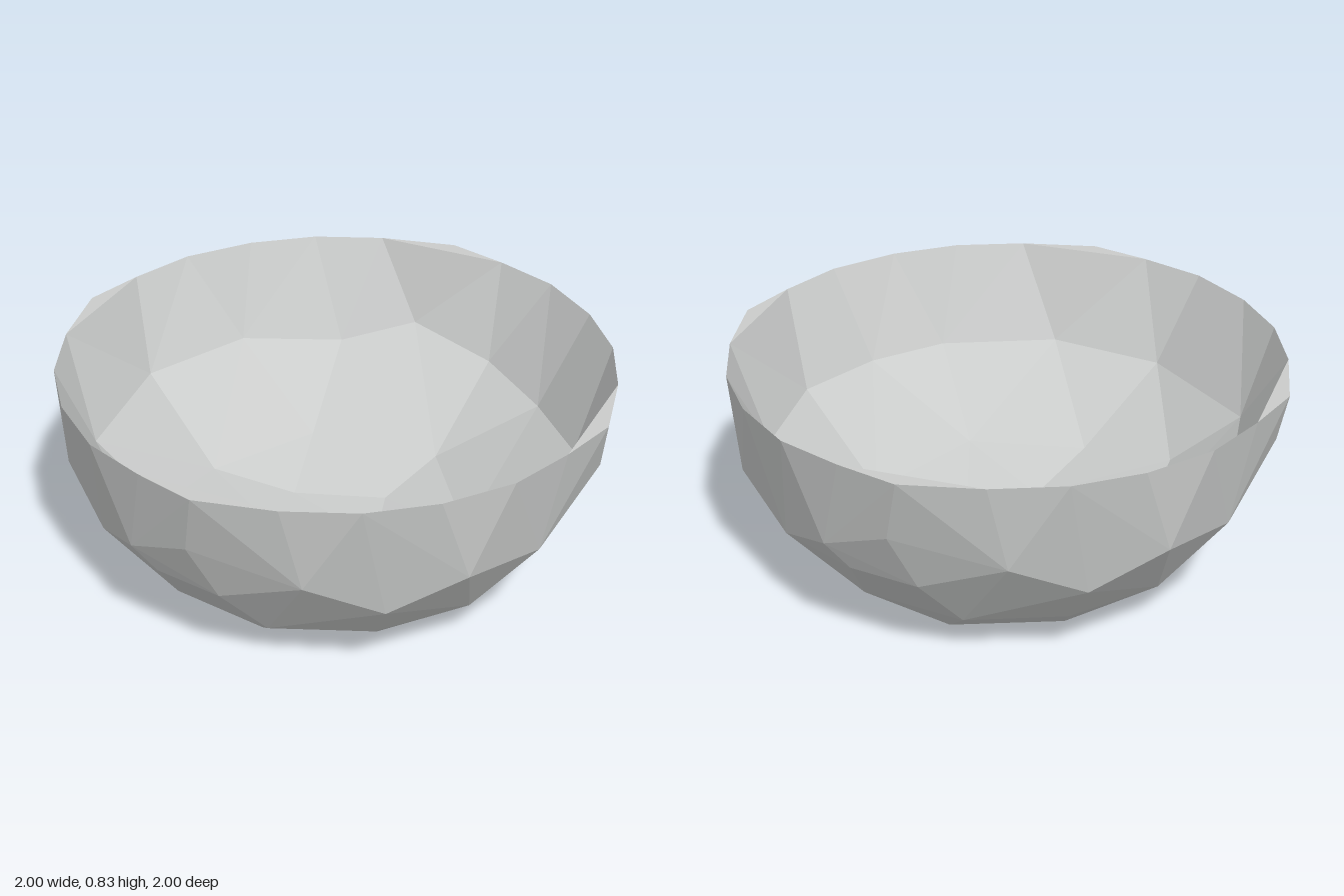
import * as THREE from 'three';
import { ConvexGeometry } from 'three/addons/geometries/ConvexGeometry.js';

const HEIGHT = 0.83;

// Convex faceted shell with its flat lid removed; inward = true turns the faces to the inside.
function openShell(points, inward) {
  const pos = new ConvexGeometry(points).getAttribute('position');
  const out = [];
  for (let i = 0; i < pos.count; i += 3) {
    const tri = [0, 1, 2].map((k) => new THREE.Vector3().fromBufferAttribute(pos, i + k));
    if (tri.every((v) => v.y > HEIGHT - 0.005)) continue;
    if (inward) tri.reverse();
    tri.forEach((v) => out.push(v.x, v.y, v.z));
  }
  return flatGeometry(out);
}

function flatGeometry(coords) {
  const geo = new THREE.BufferGeometry();
  geo.setAttribute('position', new THREE.Float32BufferAttribute(coords, 3));
  geo.computeVertexNormals();
  return geo;
}

export function createModel() {
  const group = new THREE.Group();
  group.name = 'bowl';
  const grey = new THREE.MeshStandardMaterial({ color: 0xcacccb, side: THREE.DoubleSide });
  grey.name = 'light grey';
  const add = (name, geo) => {
    const mesh = new THREE.Mesh(geo, grey);
    mesh.name = name;
    group.add(mesh);
  };

  // Rim: one quarter repeated four times; the fourth point of each quarter is a pointed corner
  const quarter = [[-0.03, -1], [0.23, -0.975], [0.48, -0.88], [0.73, -0.73], [0.85, -0.53], [0.96, -0.3]];
  const rim = [];
  for (let q = 0; q < 4; q++) {
    for (const [x, z] of quarter) {
      rim.push(new THREE.Vector3(x, HEIGHT, z).applyAxisAngle(new THREE.Vector3(0, 1, 0), -q * Math.PI / 2));
    }
  }

  // Outside wall and flat base: half the corners, the rest by a half turn
  const half = [
    [-0.4, 0.5, 0.87], [-0.12, 0.36, 0.9], [0.15, 0.49, 0.96], [0.47, 0.43, 0.8],
    [0.78, 0.585, 0.59], [0.96, 0.49, 0.16], [0.9, 0.36, -0.11], [0.86, 0.46, -0.39],
    [0.73, 0.58, -0.64], [0.62, 0.36, -0.63], [0.78, 0.36, -0.42], [0.76, 0.36, 0.45],
    [-0.44, 0.155, 0.59], [-0.1, 0.155, 0.72], [0.27, 0.155, 0.68], [0.6, 0.155, 0.42],
    [0.72, 0.155, 0.1], [0.68, 0.155, -0.28],
    [0.52, 0, 0.1], [0.36, 0, 0.4], [-0.02, 0, 0.53], [-0.4, 0, 0.38],
  ];
  const outer = [...rim];
  for (const [x, y, z] of half) {
    outer.push(new THREE.Vector3(x, y, z), new THREE.Vector3(-x, y, -z));
  }
  add('outerWall', openShell(outer, false));

  // Inside wall: plan positions dropped onto a shallow ellipsoid
  const plan = [
    [-0.11, 0.85], [-0.53, 0.68], [-0.8, 0.32], [-0.84, -0.25], [-0.53, -0.69], [-0.11, -0.86],
    [0.28, -0.79], [0.56, -0.7], [0.76, -0.4], [0.83, -0.07], [0.8, 0.33], [0.53, 0.68], [0.2, 0.83],
    [0.07, -0.51], [-0.37, -0.37], [-0.64, -0.09], [-0.45, 0.25], [-0.07, 0.5], [0.4, 0.3],
    [0.47, -0.2], [-0.19, 0.14], [0.11, 0.13], [0.23, -0.1], [-0.09, -0.24],
  ];
  const inner = rim.filter((_, i) => i % 6 !== 3);
  for (const [x, z] of plan) {
    const r = Math.hypot(x, z) / 0.985;
    inner.push(new THREE.Vector3(x, HEIGHT - 0.725 * Math.sqrt(1 - r * r), z));
  }
  add('innerWall', openShell(inner, true));

  // Small flat lips at the four rim corners
  const lips = [];
  for (let i = 3; i < 24; i += 6) {
    for (const v of [rim[i + 1], rim[i], rim[i - 1]]) lips.push(v.x, v.y, v.z);
  }
  add('rimCorners', flatGeometry(lips));

  return group;
}
